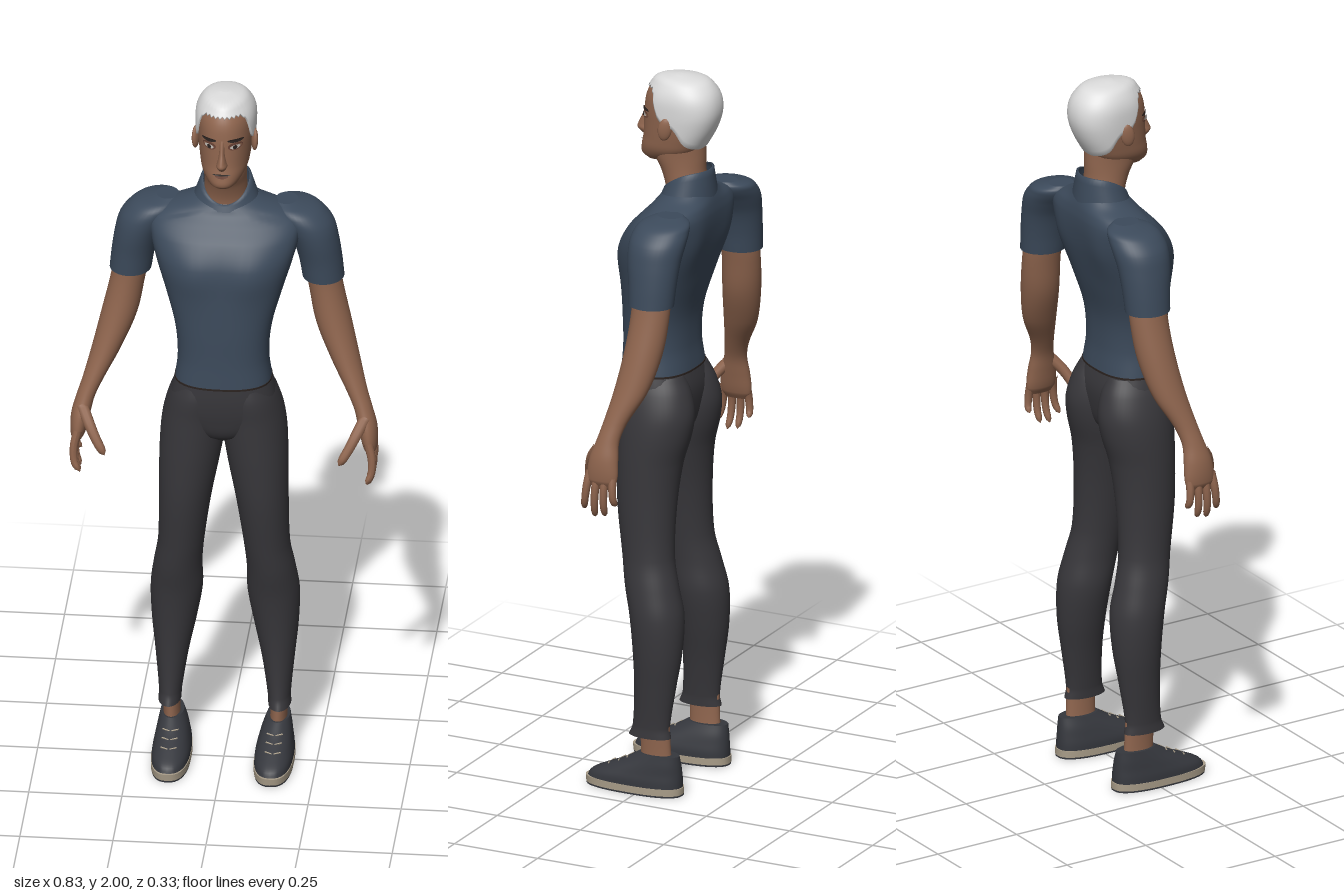
import * as THREE from 'three';

const mat = (name, color) => Object.assign(new THREE.MeshStandardMaterial({ color }), { name });

// Smooth lookup in a table of rows whose first entry is the key (ascending).
function sample(rows, key) {
  const last = rows.length - 1;
  let i = 0;
  while (i < last - 1 && key > rows[i + 1][0]) i++;
  const a = rows[i], b = rows[i + 1], h = b[0] - a[0];
  const t = Math.min(1, Math.max(0, (key - a[0]) / h));
  const p = rows[Math.max(0, i - 1)], q = rows[Math.min(last, i + 2)];
  return a.map((_, c) => {
    const m0 = (b[c] - p[c]) / (b[0] - p[0]) * h, m1 = (q[c] - a[c]) / (q[0] - a[0]) * h;
    const d = b[c] - a[c];
    return a[c] + t * m0 + t * t * (3 * d - 2 * m0 - m1) + t * t * t * (m0 + m1 - 2 * d);
  });
}

// Point on a horizontal cross-section: [y, x0, x1, zBack, zFront, roundness, frontTaper]
function ringPoint(sec, angle, scale = 1, grow = 0) {
  const [y, x0, x1, z0, z1, n = 2, taper = 0] = sec;
  const pw = v => Math.sign(v) * Math.abs(v) ** (2 / n);
  const c = pw(Math.cos(angle)), s = pw(Math.sin(angle));
  return [(x0 + x1) / 2 + ((x1 - x0) / 2 + grow) * c * (1 - taper * s) * scale, y,
    (z0 + z1) / 2 + ((z1 - z0) / 2 + grow) * s * scale];
}

// Closed grid surface: fn(row, angle) gives a point, rows run upwards.
function surface(rowCount, segs, fn) {
  const pos = [], idx = [];
  for (let r = 0; r < rowCount; r++) for (let j = 0; j < segs; j++) {
    pos.push(...fn(r, j / segs * Math.PI * 2));
    if (r === rowCount - 1) continue;
    const a = r * segs + j, b = r * segs + (j + 1) % segs;
    idx.push(a, a + segs, b, b, a + segs, b + segs);
  }
  const g = new THREE.BufferGeometry();
  g.setAttribute('position', new THREE.Float32BufferAttribute(pos, 3));
  g.setIndex(idx);
  g.computeVertexNormals();
  return g;
}

// Capped body through the given cross-sections; mod may shift each point.
function loft(secs, { segs = 40, steps = 5, mod = p => p } = {}) {
  const rows = [];
  for (let i = 0; i < secs.length - 1; i++)
    for (let k = 0; k < steps; k++) rows.push(sample(secs, secs[i][0] + (secs[i + 1][0] - secs[i][0]) * k / steps));
  rows.push(secs[secs.length - 1]);
  const all = [rows[0], rows[0], ...rows, rows[rows.length - 1], rows[rows.length - 1]];
  return surface(all.length, segs, (r, a) =>
    mod(ringPoint(all[r], a, r === 0 || r === all.length - 1 ? 0 : 1), a));
}

const sym = rows => rows.map(([y, w, ...rest]) => [y, -w, w, ...rest]);

// Tapered rounded tube for fingers.
function digit(points, radius) {
  const curve = new THREE.CatmullRomCurve3(points.map(p => new THREE.Vector3(...p)));
  const g = new THREE.TubeGeometry(curve, 14, radius, 10), pos = g.attributes.position;
  const v = new THREE.Vector3();
  for (let i = 0; i < pos.count; i++) {
    const t = Math.floor(i / 11) / 14, c = curve.getPointAt(t);
    const k = (1 - 0.3 * t) * Math.sqrt(Math.max(0, 1 - Math.max(0, (t - 0.82) / 0.18) ** 2));
    v.fromBufferAttribute(pos, i).sub(c).multiplyScalar(k).add(c);
    pos.setXYZ(i, v.x, v.y, v.z);
  }
  g.computeVertexNormals();
  return g;
}

function mirrored(geo) {
  const g = geo.clone().scale(-1, 1, 1), ix = g.index.array;
  for (let i = 0; i < ix.length; i += 3) [ix[i], ix[i + 1]] = [ix[i + 1], ix[i]];
  g.computeVertexNormals();
  return g;
}

const HEAD = sym([
  [1.752, 0.026, -0.01, 0.05, 2.2, 0], [1.765, 0.043, -0.06, 0.067, 2.2, 0.08],
  [1.79, 0.06, -0.1, 0.066, 2.3, 0.12], [1.82, 0.067, -0.122, 0.06, 2.3, 0.12],
  [1.86, 0.072, -0.143, 0.058, 2.3, 0.12], [1.9, 0.075, -0.154, 0.056, 2.3, 0.12],
  [1.94, 0.073, -0.15, 0.049, 2.2, 0.12], [1.97, 0.06, -0.132, 0.032, 2, 0.12],
  [1.987, 0.04, -0.105, 0.008, 2, 0.1], [1.994, 0.006, -0.056, -0.044, 2, 0]]);
const HAIRLINE = [[-1, 1.8], [-0.5, 1.822], [-0.1, 1.865], [0.25, 1.885], [0.6, 1.953], [1, 1.962]];

// Thin oval laid onto the face.
function facePatch(cx, cy, w, h, lift, tilt = 0) {
  const g = new THREE.CircleGeometry(1, 20).scale(w, h, 1).rotateZ(tilt).translate(cx, cy, 0);
  const pos = g.attributes.position;
  for (let i = 0; i < pos.count; i++) {
    const x = pos.getX(i), sec = sample(HEAD, pos.getY(i));
    let lo = 0, hi = Math.PI;
    for (let k = 0; k < 16; k++) {
      const m = (lo + hi) / 2;
      if (ringPoint(sec, m)[0] > x) lo = m; else hi = m;
    }
    pos.setZ(i, ringPoint(sec, lo)[2] + lift);
  }
  g.computeVertexNormals();
  return g;
}

export function createModel() {
  const root = new THREE.Group();
  root.name = 'standingMan';
  const skin = mat('skin', 0x8f654e), shirt = mat('shirtBlue', 0x3c4a5b), pants = mat('trouserCharcoal', 0x38373b);
  const hair = mat('hairWhite', 0xdcdcdc), dark = mat('featureDark', 0x2b2320), white = mat('eyeWhite', 0xc9c2ba);
  const shoe = mat('shoeGrey', 0x35373d), sole = mat('soleBeige', 0xa89c88), lip = mat('lipBrown', 0x6e4638);
  shirt.side = THREE.DoubleSide;
  const add = (name, geo, m) => {
    const mesh = new THREE.Mesh(geo, m);
    mesh.name = name;
    root.add(mesh);
  };
  const pair = (name, geo, m) => {
    add(name + 'Left', geo, m);
    add(name + 'Right', mirrored(geo), m);
  };

  // Head, neck and hair
  add('head', loft(HEAD, { segs: 48 }), skin);
  add('neck', loft(sym([[1.62, 0.07, -0.13, -0.01], [1.68, 0.06, -0.122, -0.008], [1.73, 0.057, -0.116, 0.008],
    [1.77, 0.058, -0.116, 0.03], [1.81, 0.06, -0.115, 0.03]])), skin);
  add('hair', surface(22, 64, (r, a) => {
    const line = sample(HAIRLINE, Math.sin(a))[1] + (Math.sin(a) > 0.5 ? 0.003 * Math.cos(a * 32) : 0);
    const y = line + (1.994 - line) * Math.sin(Math.max(0, r - 1) / 20 * Math.PI / 2);
    const p = ringPoint(sample(HEAD, y), a, r === 21 ? 0 : 1, r === 0 ? 0 : 0.006);
    p[1] += r === 0 ? 0 : 0.006 * (y - line) / (1.994 - line);
    return p;
  }), hair);

  // Face
  add('nose', loft(sym([[1.815, 0.011, 0.03, 0.07], [1.828, 0.015, 0.03, 0.084], [1.84, 0.012, 0.03, 0.082],
    [1.865, 0.008, 0.03, 0.07], [1.9, 0.009, 0.03, 0.057]]), { segs: 20 }), skin);
  pair('ear', new THREE.SphereGeometry(1, 16, 12).scale(0.009, 0.032, 0.019).rotateY(0.3).rotateX(-0.15)
    .translate(0.079, 1.862, -0.037), skin);
  pair('eyeSocket', facePatch(0.035, 1.882, 0.019, 0.011, 0.001), lip);
  pair('eye', facePatch(0.035, 1.881, 0.013, 0.006, 0.0025), white);
  pair('iris', facePatch(0.035, 1.881, 0.0055, 0.006, 0.004), dark);
  pair('eyebrow', facePatch(0.036, 1.899, 0.021, 0.005, 0.003, -0.1), dark);
  add('mouthLine', facePatch(0, 1.802, 0.025, 0.0025, 0.004), dark);
  add('lowerLip', facePatch(0, 1.797, 0.018, 0.006, 0.002), lip);

  // Shirt body with chest and shoulder-blade relief
  const bump = (x, y, cx, cy, sx, sy) => Math.exp(-(((Math.abs(x) - cx) / sx) ** 2) - ((y - cy) / sy) ** 2);
  add('shirtBody', loft(sym([
    [1.17, 0.129, -0.09, 0.105, 2.5], [1.24, 0.122, -0.083, 0.103, 2.4], [1.33, 0.13, -0.088, 0.103, 2.4],
    [1.43, 0.157, -0.115, 0.1, 2.4], [1.52, 0.185, -0.137, 0.094, 2.4], [1.58, 0.2, -0.147, 0.068, 2.4],
    [1.62, 0.198, -0.15, 0.033, 2.4], [1.645, 0.165, -0.148, 0.01, 2.3], [1.665, 0.11, -0.144, -0.002, 2.1],
    [1.685, 0.075, -0.137, -0.02, 2]]), {
    segs: 56, mod: p => {
      const [x, y, z] = p;
      return [x, y, z > 0 ? z + 0.01 * bump(x, y, 0.085, 1.5, 0.06, 0.07)
        : z - 0.01 * bump(x, y, 0.1, 1.55, 0.05, 0.08)];
    } }), shirt);
  pair('sleeve', loft([
    [1.432, 0.203, 0.315, -0.152, -0.027], [1.49, 0.193, 0.309, -0.156, -0.022], [1.55, 0.175, 0.3, -0.161, -0.013],
    [1.595, 0.15, 0.288, -0.166, -0.01], [1.625, 0.13, 0.265, -0.165, -0.015], [1.643, 0.125, 0.237, -0.158, -0.03],
    [1.655, 0.13, 0.19, -0.13, -0.06]]), shirt);
  // Collar, dipping at the front
  add('collar', surface(7, 40, (r, a) => {
    const t = Math.min(r, 5) / 5, f = (1 + Math.sin(a)) / 2;
    const w = 0.094 - 0.026 * t - (r === 6 ? 0.006 : 0);
    return [w * Math.cos(a), 1.655 + t * (0.085 - 0.068 * f ** 2.2),
      -0.07 + (0.075 - 0.008 * t - (r === 6 ? 0.006 : 0)) * Math.sin(a)];
  }), shirt);

  // Arms and hands
  pair('arm', loft([
    [0.945, 0.385, 0.403, -0.04, 0.022], [0.965, 0.373, 0.412, -0.054, 0.034], [1.02, 0.36, 0.411, -0.053, 0.03],
    [1.07, 0.348, 0.398, -0.05, 0.014], [1.12, 0.325, 0.382, -0.065, 0.002], [1.2, 0.282, 0.36, -0.107, -0.013],
    [1.3, 0.24, 0.336, -0.133, -0.027], [1.4, 0.22, 0.313, -0.143, -0.036], [1.48, 0.205, 0.3, -0.142, -0.036]]), skin);
  [['index', 0.026, 0.046, 0.872], ['middle', 0.003, 0.014, 0.852], ['ring', -0.02, -0.016, 0.858],
    ['little', -0.041, -0.05, 0.895]].forEach(([n, z0, z1, y]) => pair(n + 'Finger', digit(
    [[0.39, 0.985, z0], [0.4, 0.94, (2 * z0 + z1) / 3], [0.398, (y + 0.92) / 2, (z0 + 2 * z1) / 3], [0.385, y, z1]],
    0.0125), skin));
  pair('thumb', digit([[0.38, 1.05, 0.005], [0.357, 1.01, 0.038], [0.338, 0.975, 0.055], [0.314, 0.935, 0.068]], 0.0165), skin);

  // Trousers
  add('hips', loft(sym([
    [0.985, 0.05, -0.06, 0.045, 2], [1.01, 0.1, -0.08, 0.078, 2.2], [1.06, 0.148, -0.093, 0.094, 2.4],
    [1.12, 0.142, -0.098, 0.102, 2.5], [1.182, 0.126, -0.086, 0.102, 2.5]])), pants);
  pair('trouserLeg', loft([
    [0.16, 0.117, 0.178, -0.09, 0.033], [0.19, 0.115, 0.177, -0.085, 0.022], [0.3, 0.098, 0.187, -0.1, 0.018],
    [0.4, 0.077, 0.197, -0.114, 0.023], [0.5, 0.06, 0.2, -0.115, 0.035], [0.58, 0.06, 0.19, -0.097, 0.052],
    [0.66, 0.053, 0.177, -0.08, 0.065], [0.8, 0.033, 0.174, -0.08, 0.085], [0.92, 0.01, 0.173, -0.092, 0.092],
    [1, -0.003, 0.17, -0.113, 0.094], [1.06, -0.005, 0.162, -0.12, 0.095], [1.12, 0, 0.145, -0.107, 0.098],
    [1.165, 0.01, 0.125, -0.085, 0.09]]), pants);
  add('waistSeam', loft(sym([[1.166, 0.1305, -0.0915, 0.1065, 2.5], [1.171, 0.1305, -0.0915, 0.1065, 2.5]])), dark);

  // Ankles and shoes
  pair('ankle', loft([[0.07, 0.117, 0.167, -0.092, 0], [0.12, 0.121, 0.166, -0.088, 0.0], [0.2, 0.122, 0.17, -0.085, 0.0]]), skin);
  const upper = [[0.02, 0.086, 0.19, -0.118, 0.16, 2.5], [0.04, 0.087, 0.189, -0.118, 0.147, 2.4],
    [0.06, 0.092, 0.185, -0.117, 0.108, 2.3], [0.085, 0.1, 0.18, -0.115, 0.052, 2.2], [0.112, 0.111, 0.174, -0.112, 0.006, 2]];
  pair('shoeUpper', loft(upper), shoe);
  pair('shoeSole', loft([[0.005, 0.085, 0.191, -0.121, 0.163, 2.5], [0.024, 0.085, 0.191, -0.121, 0.165, 2.5]], { steps: 2 }), sole);
  pair('shoeTread', loft([[0, 0.086, 0.19, -0.12, 0.162, 2.5], [0.006, 0.086, 0.19, -0.12, 0.163, 2.5]], { steps: 2 }), shoe);
  [0.066, 0.079, 0.092].forEach((y, i) => [-1, 1].forEach(s => pair('lace' + i + (s > 0 ? 'Outer' : 'Inner'),
    new THREE.BoxGeometry(0.02, 0.003, 0.003).rotateY(s * 0.35).rotateX(0.45)
      .translate(0.14 + s * 0.012, y, sample(upper, y)[4] - 0.002), sole)));

  return root;
}
